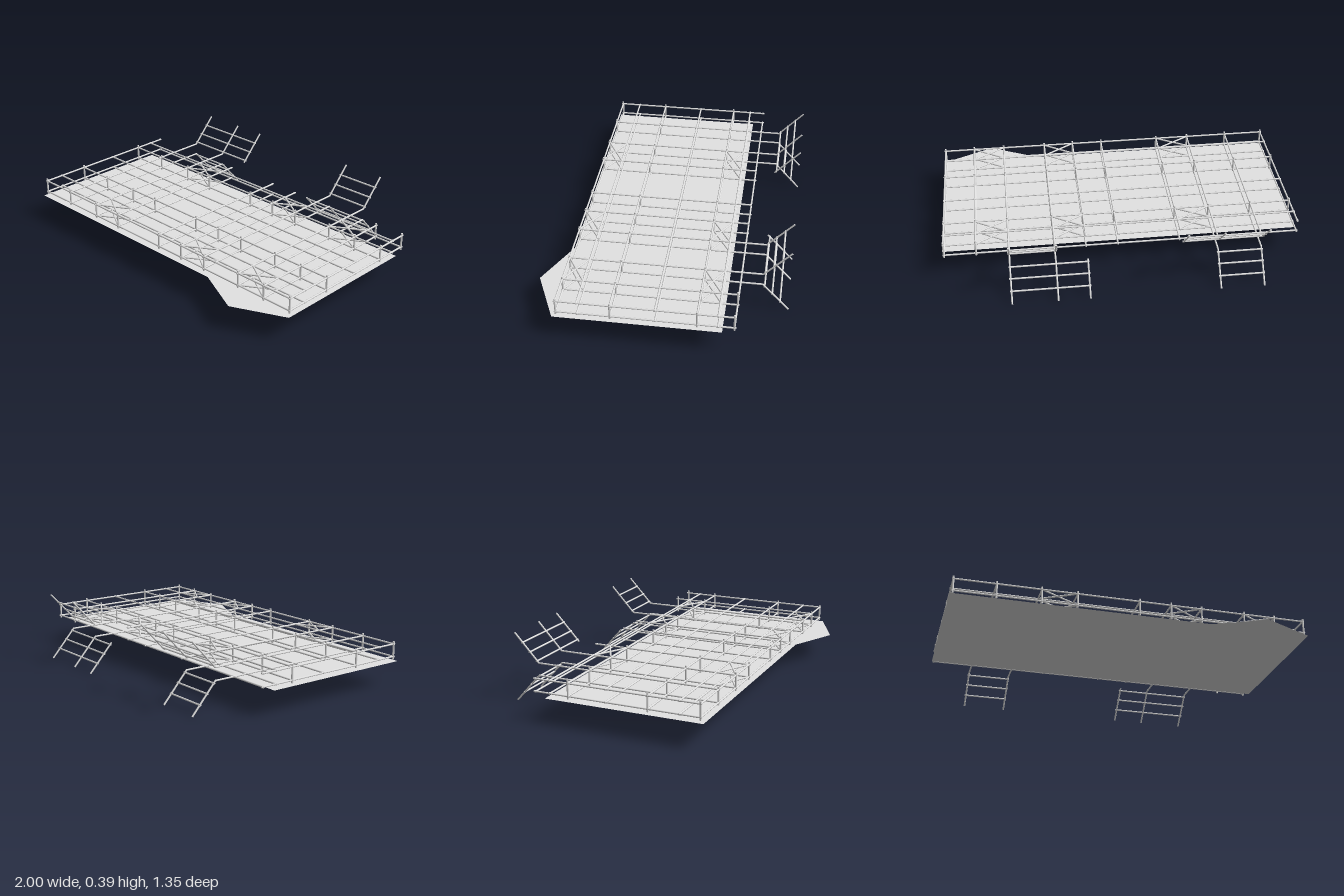
import * as THREE from 'three';
import { mergeGeometries } from 'three/addons/utils/BufferGeometryUtils.js';

const R = 0.005;                                   // tube radius
const LOW = 0.165, HIGH = 0.235;                   // lower and upper frame heights
const XS = [-0.985, -0.757, -0.515, -0.32, 0.027, 0.205, 0.38, 0.63, 0.81, 0.985];
const ZS = [-0.407, -0.323, -0.215, 0.002, 0.237, 0.41, 0.522];
const BACK = ZS[0];
const POST_ZS = [-0.215, 0.237, 0.522];
const BACK_POST_XS = [0.81, 0.985];
const BEND = -0.525;                               // z where the wings fold away

// A round tube between two points
function tube(a, b, r = R) {
  const p = new THREE.Vector3(...a), q = new THREE.Vector3(...b);
  const dir = q.clone().sub(p);
  const g = new THREE.CylinderGeometry(r, r, dir.length(), 8);
  g.applyQuaternion(new THREE.Quaternion().setFromUnitVectors(new THREE.Vector3(0, 1, 0), dir.normalize()));
  return g.translate(...p.add(q).multiplyScalar(0.5).toArray());
}

// A small coupler at a crossing
function joint(x, y, z, r = 0.007) {
  return new THREE.SphereGeometry(r, 8, 6).translate(x, y, z);
}

export function createModel() {
  const model = new THREE.Group();
  const paint = new THREE.MeshStandardMaterial({ color: 0xe3e3e3, side: THREE.DoubleSide });
  paint.name = 'pale grey';

  const add = (name, geometry) => {
    const mesh = new THREE.Mesh(geometry, paint);
    mesh.name = name;
    model.add(mesh);
  };

  // Flat base sheet with a pointed bulge at the front
  const outline = new THREE.Shape([
    [-1, -0.345], [1, -0.345], [1, 0.543], [0.71, 0.675], [0.43, 0.543], [-1, 0.543],
  ].map(([x, z]) => new THREE.Vector2(x, z)));
  add('baseSheet', new THREE.ShapeGeometry(outline).rotateX(Math.PI / 2).translate(0, 0.139, 0));

  // Two-level grid of horizontal tubes with couplers; the upper level is open along the back
  for (const [name, y] of [['lower', LOW], ['upper', HIGH]]) {
    const longZs = y === LOW ? ZS : ZS.slice(1);
    add(name + 'LongTubes', mergeGeometries(longZs.map(z => tube([-0.992, y, z], [0.992, y, z]))));
    add(name + 'CrossTubes', mergeGeometries(XS.map(x => tube([x, y, BACK - 0.01], [x, y, 0.53]))));
    add(name + 'Couplers', mergeGeometries(XS.flatMap(x => ZS.map(z => joint(x, y, z)))));

    // Crossed diagonal braces in the narrow bays
    const braces = [];
    for (const [x0, x1] of [[-0.515, -0.32], [0.205, 0.38], [0.63, 0.81]]) {
      for (const [z0, z1] of [[-0.323, -0.215], [0.41, 0.522]]) {
        braces.push(tube([x0, y, z0], [x1, y, z1]), tube([x0, y, z1], [x1, y, z0]));
      }
    }
    add(name + 'Braces', mergeGeometries(braces));
  }

  // Short uprights joining both levels
  const post = (x, z) => tube([x, 0.15, z], [x, 0.25, z], 0.0055);
  add('uprights', mergeGeometries(XS.flatMap(x => POST_ZS.map(z => post(x, z)))));
  add('backUprights', mergeGeometries(BACK_POST_XS.map(x => post(x, BACK))));

  // Ladder-like wings at the back, folding up or down
  function wing(name, xs, arms, up) {
    const y0 = up ? HIGH : LOW;
    const tipY = up ? 0.39 : 0.004;
    const at = (x, t) => [x, y0 + (tipY - y0) * t, BEND + (-0.67 - BEND) * t];
    const parts = xs.map(x => tube(at(x, 0), at(x, 1)));
    for (const x of arms) parts.push(tube([x, y0, BACK], [x, y0, BEND]), joint(x, y0, BEND, R));
    for (const t of [0.07, 0.365, 0.675]) {
      parts.push(tube(at(xs[0] - 0.008, t), at(xs[xs.length - 1] + 0.008, t)));
      for (const x of xs) parts.push(joint(...at(x, t), 0.006));
    }
    add(name, mergeGeometries(parts));
  }
  wing('rightUpperWing', [-0.757, -0.515, -0.32], [-0.757, -0.515], true);
  wing('rightLowerWing', [-0.757, -0.515], [-0.757, -0.515], false);
  wing('leftUpperWing', [0.38, 0.63], [0.38, 0.63], true);
  wing('leftLowerWing', [0.205, 0.38, 0.63], [0.38, 0.63], false);

  return model;
}
